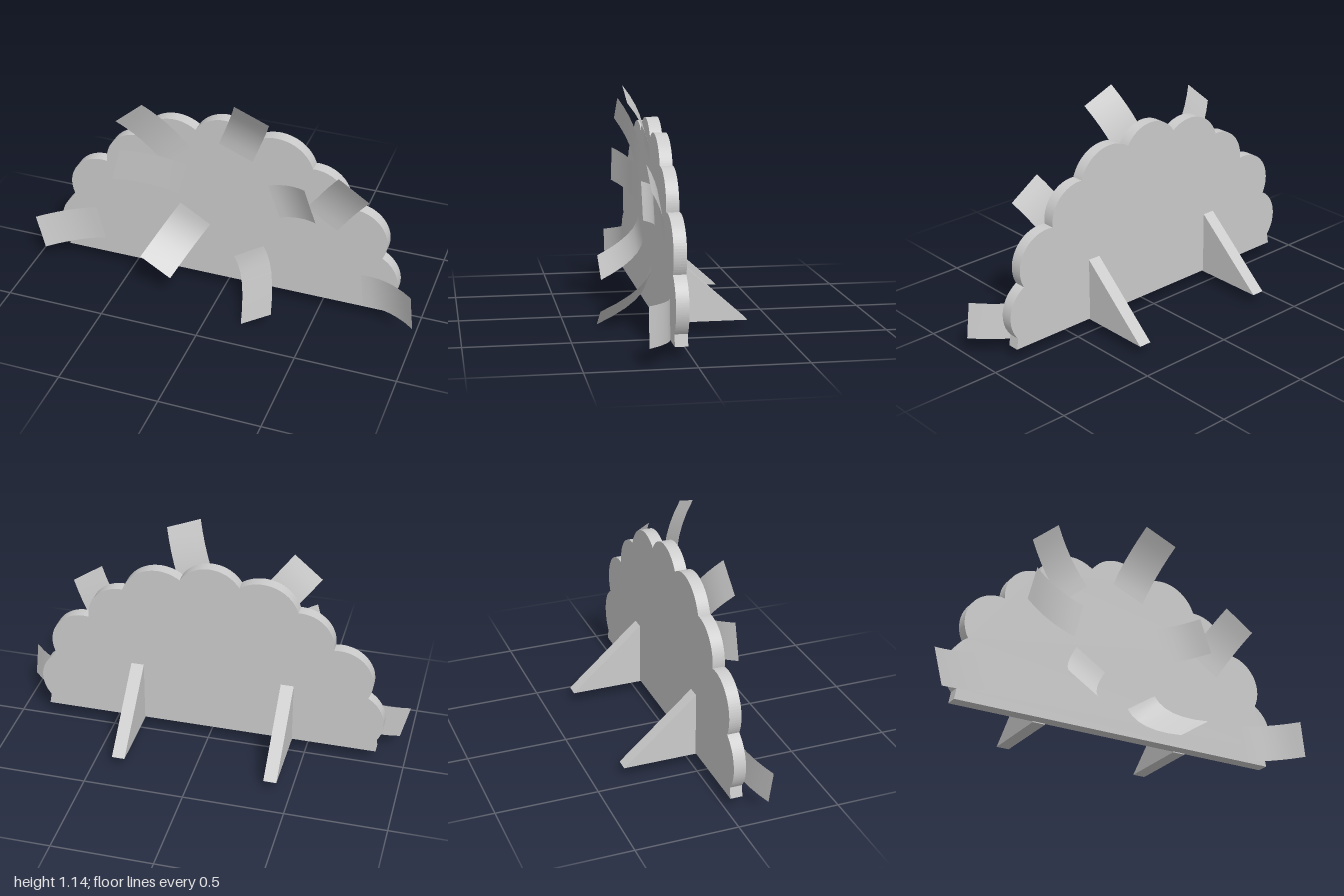
import * as THREE from 'three';

const grey = new THREE.MeshStandardMaterial({ color: 0xcccccc });
const greyThin = new THREE.MeshStandardMaterial({ color: 0xcccccc, side: THREE.DoubleSide });

// Adds an arc bulging outward from a to b (counter-clockwise outline)
function addLobe(shape, [ax, ay], [bx, by], r) {
  const dx = bx - ax, dy = by - ay, c = Math.hypot(dx, dy);
  const h = Math.sqrt(r * r - c * c / 4);
  const cx = (ax + bx) / 2 - dy / c * h, cy = (ay + by) / 2 + dx / c * h;
  shape.absarc(cx, cy, r, Math.atan2(ay - cy, ax - cx), Math.atan2(by - cy, bx - cx), false);
}

// Scalloped half-round board
function makeBoard() {
  const half = [[0.845, 0.115], [0.8, 0.372], [0.62, 0.62], [0.44, 0.805], [0.148, 0.9]];
  const cusps = [...half, ...half.map(([x, y]) => [-x, y]).reverse()];
  const radii = [0.17, 0.17, 0.17, 0.19, 0.175, 0.19, 0.17, 0.17, 0.17];
  const shape = new THREE.Shape();
  shape.moveTo(-0.855, 0.06);
  shape.lineTo(0.855, 0.06);
  radii.forEach((r, i) => addLobe(shape, cusps[i], cusps[i + 1], r));
  shape.closePath();
  const geo = new THREE.ExtrudeGeometry(shape, { depth: 0.06, bevelEnabled: false, curveSegments: 14 });
  geo.translate(0, 0, 0.02);
  return new THREE.Mesh(geo, grey);
}

// Triangular prop behind the board
function makeProp(x) {
  const shape = new THREE.Shape();
  shape.moveTo(-0.025, 0.055);
  shape.lineTo(0.345, 0.055);
  shape.lineTo(-0.02, 0.38);
  shape.closePath();
  const geo = new THREE.ExtrudeGeometry(shape, { depth: 0.065, bevelEnabled: false });
  geo.rotateY(Math.PI / 2); // shape x becomes -z, depth becomes +x
  geo.translate(x - 0.0325, 0, 0);
  return new THREE.Mesh(geo, grey);
}

// Paper strip: flat at its base, curling forward toward its tip
function makeStrip([bx, by], [tx, ty], tipZ, width = 0.183) {
  const dx = tx - bx, dy = ty - by, len = Math.hypot(dx, dy);
  const geo = new THREE.PlaneGeometry(width, 1, 1, 6);
  const p = geo.attributes.position;
  for (let i = 0; i < p.count; i++) {
    const s = p.getX(i), t = p.getY(i) + 0.5;
    p.setXYZ(i, bx + dx * t + s * dy / len, by + dy * t - s * dx / len, 0.081 + (tipZ - 0.081) * t * t);
  }
  geo.computeVertexNormals();
  return new THREE.Mesh(geo, greyThin);
}

export function createModel() {
  const model = new THREE.Group();
  model.name = 'bushCutout';
  const add = (mesh, name) => { mesh.name = name; model.add(mesh); };

  add(makeBoard(), 'scallopedBoard');
  add(makeProp(0.372), 'leftProp');
  add(makeProp(-0.397), 'rightProp');

  // base, tip, forward reach of the tip
  const strips = [
    [[0.055, 0.815], [0.175, 1.113], 0.205],
    [[-0.247, 0.737], [-0.455, 0.98], 0.165],
    [[-0.22, 0.6], [-0.528, 0.682], 0.18],
    [[-0.67, 0.235], [-0.977, 0.16], 0.165],
    [[-0.155, 0.412], [-0.298, 0.18], 0.275],
    [[0.125, 0.25], [0.253, 0.053], 0.345],
    [[0.71, 0.157], [0.989, 0.187], 0.215],
    [[0.495, 0.53], [0.665, 0.785], 0.165],
    [[0.25, 0.577], [0.455, 0.648], 0.165],
  ];
  strips.forEach((s, i) => add(makeStrip(...s), `curledStrip${i + 1}`));
  return model;
}
